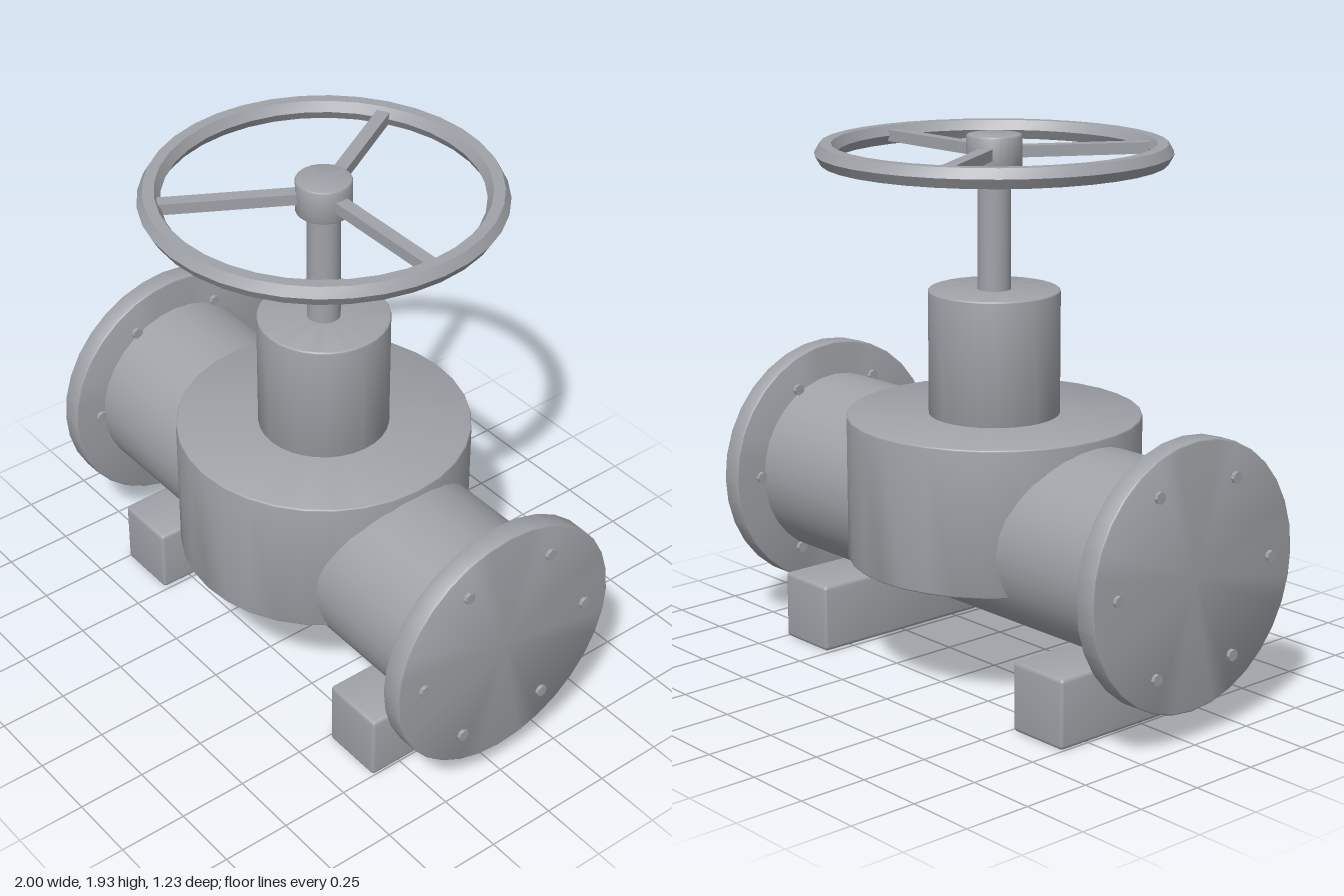
import * as THREE from 'three';
import { toCreasedNormals } from 'three/addons/utils/BufferGeometryUtils.js';
import { RoundedBoxGeometry } from 'three/addons/geometries/RoundedBoxGeometry.js';

const material = new THREE.MeshStandardMaterial({ color: 0x9fa2a7 });

function add(parent, name, geometry, x = 0, y = 0, z = 0) {
  const mesh = new THREE.Mesh(toCreasedNormals(geometry, 0.6), material);
  mesh.name = name;
  mesh.position.set(x, y, z);
  parent.add(mesh);
  return mesh;
}

// Solid disc or drum from y0 to y1 with a small rounding on both rims
function drum(radius, y0, y1, round = 0.007, sides = 32) {
  const points = [new THREE.Vector2(0, y0)];
  for (const [y, start] of [[y0 + round, -Math.PI / 2], [y1 - round, 0]]) {
    for (let i = 0; i <= 4; i++) {
      const a = start + i * Math.PI / 8;
      points.push(new THREE.Vector2(radius - round + round * Math.cos(a), y + round * Math.sin(a)));
    }
  }
  points.push(new THREE.Vector2(0, y1));
  return new THREE.LatheGeometry(points, sides);
}

export function createModel() {
  const valve = new THREE.Group();
  valve.name = 'gateValve';
  const axisY = 0.578;

  // Horizontal pipe
  add(valve, 'pipe', new THREE.CylinderGeometry(0.34, 0.34, 1.95, 32).rotateZ(Math.PI / 2), 0, axisY);

  // End flanges with six bolts each, and the feet
  for (const side of [-1, 1]) {
    const end = new THREE.Group();
    end.name = side > 0 ? 'leftFlange' : 'rightFlange';
    end.position.y = axisY;
    end.rotation.z = -side * Math.PI / 2;
    valve.add(end);
    add(end, 'flangeDisc', drum(0.465, 0.909, 0.987));
    for (let i = 0; i < 6; i++) {
      const a = i * Math.PI / 3;
      add(end, 'bolt', new THREE.CylinderGeometry(0.021, 0.021, 0.105, 8),
        0.355 * Math.sin(a), 0.9475, 0.355 * Math.cos(a));
    }
    add(valve, side > 0 ? 'leftFoot' : 'rightFoot',
      new RoundedBoxGeometry(0.24, 0.25, 0.74, 3, 0.015), side * 0.63, 0.125);
  }

  // Valve body, bonnet and stem
  add(valve, 'body', drum(0.52, 0.428, 0.947));
  add(valve, 'bonnet', drum(0.231, 0.93, 1.387));
  add(valve, 'stem', new THREE.CylinderGeometry(0.058, 0.058, 0.48, 24), 0, 1.6);

  // Handwheel: hub, hexagonal-section rim and three flat spokes
  const wheel = new THREE.Group();
  wheel.name = 'handwheel';
  wheel.position.y = 1.865;
  valve.add(wheel);
  add(wheel, 'hub', drum(0.096, -0.061, 0.061, 0.007, 24));
  add(wheel, 'rim', new THREE.TorusGeometry(0.577, 0.039, 6, 36).rotateX(Math.PI / 2));
  for (let i = 0; i < 3; i++) {
    const spoke = new THREE.BoxGeometry(0.49, 0.04, 0.048);
    spoke.translate(0.305, 0, 0);
    add(wheel, 'spoke', spoke).rotation.y = i * Math.PI * 2 / 3;
  }
  return valve;
}
